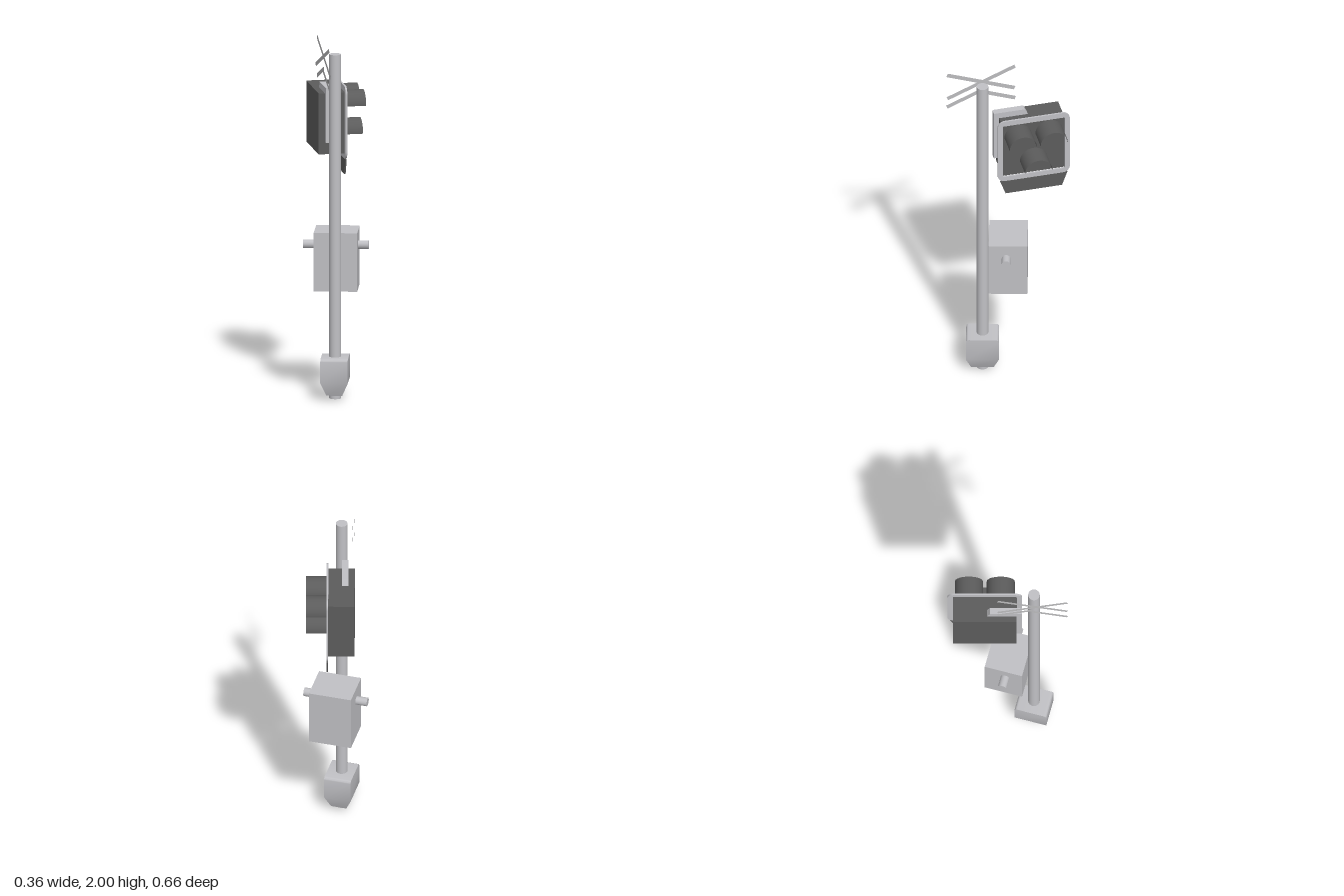
import * as THREE from 'three';
import { toCreasedNormals } from 'three/addons/utils/BufferGeometryUtils.js';

const TURN = -Math.PI / 12;           // cabinet and foot are turned on the pole
const POLE = { x: -0.033, z: 0.14 };

function material(name, color, side = THREE.FrontSide) {
  const m = new THREE.MeshStandardMaterial({ color, side });
  m.name = name;
  return m;
}

function add(parent, name, geometry, mat, x = 0, y = 0, z = 0) {
  const mesh = new THREE.Mesh(geometry, mat);
  mesh.name = name;
  mesh.position.set(x, y, z);
  parent.add(mesh);
  return mesh;
}

function group(parent, name, x, y, z, turn) {
  const g = new THREE.Group();
  g.name = name;
  g.position.set(x, y, z);
  g.rotation.y = turn;
  parent.add(g);
  return g;
}

function polygon(points) {
  return new THREE.Shape(points.map(([x, y]) => new THREE.Vector2(x, y)));
}

function extrude(shape, depth) {
  return new THREE.ExtrudeGeometry(shape, { depth, bevelEnabled: false, curveSegments: 6 });
}

function roundedRect(x0, y0, x1, y1, r) {
  const s = new THREE.Shape();
  s.absarc(x1 - r, y1 - r, r, 0, Math.PI / 2);
  s.absarc(x0 + r, y1 - r, r, Math.PI / 2, Math.PI);
  s.absarc(x0 + r, y0 + r, r, Math.PI, Math.PI * 1.5);
  s.absarc(x1 - r, y0 + r, r, Math.PI * 1.5, Math.PI * 2);
  s.closePath();
  return s;
}

// Lofts rectangular rings [width, depth, y], with caps at both ends
function loftRectangles(rings) {
  const pos = [], index = [];
  for (const [w, d, y] of rings) {
    for (const [sx, sz] of [[1, 1], [1, -1], [-1, -1], [-1, 1]]) pos.push(sx * w / 2, y, sz * d / 2);
  }
  for (let i = 0; i < rings.length - 1; i++) {
    for (let k = 0; k < 4; k++) {
      const a = i * 4 + k, b = i * 4 + (k + 1) % 4;
      index.push(a, b, b + 4, a, b + 4, a + 4);
    }
  }
  const t = (rings.length - 1) * 4;
  index.push(0, 2, 1, 0, 3, 2, t, t + 1, t + 2, t, t + 2, t + 3);
  const g = new THREE.BufferGeometry();
  g.setAttribute('position', new THREE.Float32BufferAttribute(pos, 3));
  g.setIndex(index);
  return toCreasedNormals(g, 0.5);
}

export function createModel() {
  const model = new THREE.Group();
  model.name = 'crossingSignal';
  const grey = material('lightGrey', 0xc0c0c4);
  const sheet = material('sheetGrey', 0xbcbcbe, THREE.DoubleSide);
  const dark = material('darkGrey', 0x5c5c5c, THREE.DoubleSide);
  const red = material('lampRed', 0xd4523a);

  // Pole
  add(model, 'pole', new THREE.CylinderGeometry(0.032, 0.032, 1.93, 24), grey, POLE.x, 0.965, POLE.z);

  // Tapered foot with rounded top edges
  const foot = group(model, 'foot', POLE.x, 0, POLE.z, TURN);
  const rings = [[0.087, 0.125, 0.026], [0.151, 0.181, 0.1]];
  for (let i = 0; i <= 4; i++) {
    const a = i / 4 * Math.PI / 2;
    rings.push([0.151, 0.151 + 0.03 * Math.cos(a), 0.219 + 0.015 * Math.sin(a)]);
  }
  add(foot, 'footCasting', loftRectangles(rings), grey);

  // Control cabinet with a stub on each side
  const cabinet = group(model, 'cabinet', 0.003, 0.754, 0.003, TURN);
  add(cabinet, 'cabinetBox', new THREE.BoxGeometry(0.239, 0.328, 0.212), grey);
  for (const s of [-1, 1]) {
    const stub = new THREE.CylinderGeometry(0.024, 0.024, 0.07, 16).rotateZ(Math.PI / 2);
    add(cabinet, s < 0 ? 'rightStub' : 'leftStub', stub, grey, s * 0.145 - 0.003, 0.081, 0.01);
  }

  // Signal head, built facing local +z and turned to face +x
  const head = group(model, 'signalHead', 0, 0, -0.13, Math.PI / 2);
  add(head, 'housing', new THREE.BoxGeometry(0.351, 0.342, 0.147), dark, 0, 1.521, -0.0325);
  const frame = roundedRect(-0.204, 1.318, 0.204, 1.727, 0.042);
  frame.holes.push(roundedRect(-0.175, 1.347, 0.175, 1.695, 0.006));
  add(head, 'frame', extrude(frame, 0.01), grey, 0, 0, 0.039);
  const apron = polygon([[-0.19, 1.318], [-0.16, 1.232], [0.16, 1.232], [0.19, 1.318]]);
  add(head, 'apron', extrude(apron, 0.008), dark, 0, 0, 0.04);

  // Lamp hoods
  for (const [u, y] of [[-0.0875, 1.61], [0.0875, 1.61], [0, 1.435]]) {
    const hood = new THREE.CylinderGeometry(0.077, 0.077, 0.121, 16, 1, true, Math.PI / 2, Math.PI);
    add(head, 'lampHood', hood.rotateX(Math.PI / 2), dark, u, y, 0.1015);
  }
  add(head, 'redLamp', new THREE.CircleGeometry(0.042, 24), red, 0.058, 1.624, 0.046);

  // Hooked mounting bracket over the housing
  const bracket = polygon([[-0.205, 1.42], [-0.175, 1.42], [-0.175, 1.69], [-0.012, 1.69],
    [-0.03, 1.727], [-0.205, 1.727]]);
  add(head, 'bracket', extrude(bracket, 0.037), grey, 0, 0, -0.072);

  // Crossed boards and the half cross below them
  const cross = group(model, 'crossBoards', -0.098, 0, 0.132, Math.PI / 2);
  const tilt = 0.385;
  for (const s of [-1, 1]) {
    const board = add(cross, 'crossBoard', new THREE.PlaneGeometry(0.413, 0.024), sheet, 0, 1.912, s * 0.004);
    board.rotation.z = s * tilt;
    const half = add(cross, 'halfCrossBoard', new THREE.PlaneGeometry(0.207, 0.024), sheet,
      s * 0.0965, 1.81, s * 0.004);
    half.rotation.z = -s * tilt;
  }
  return model;
}
